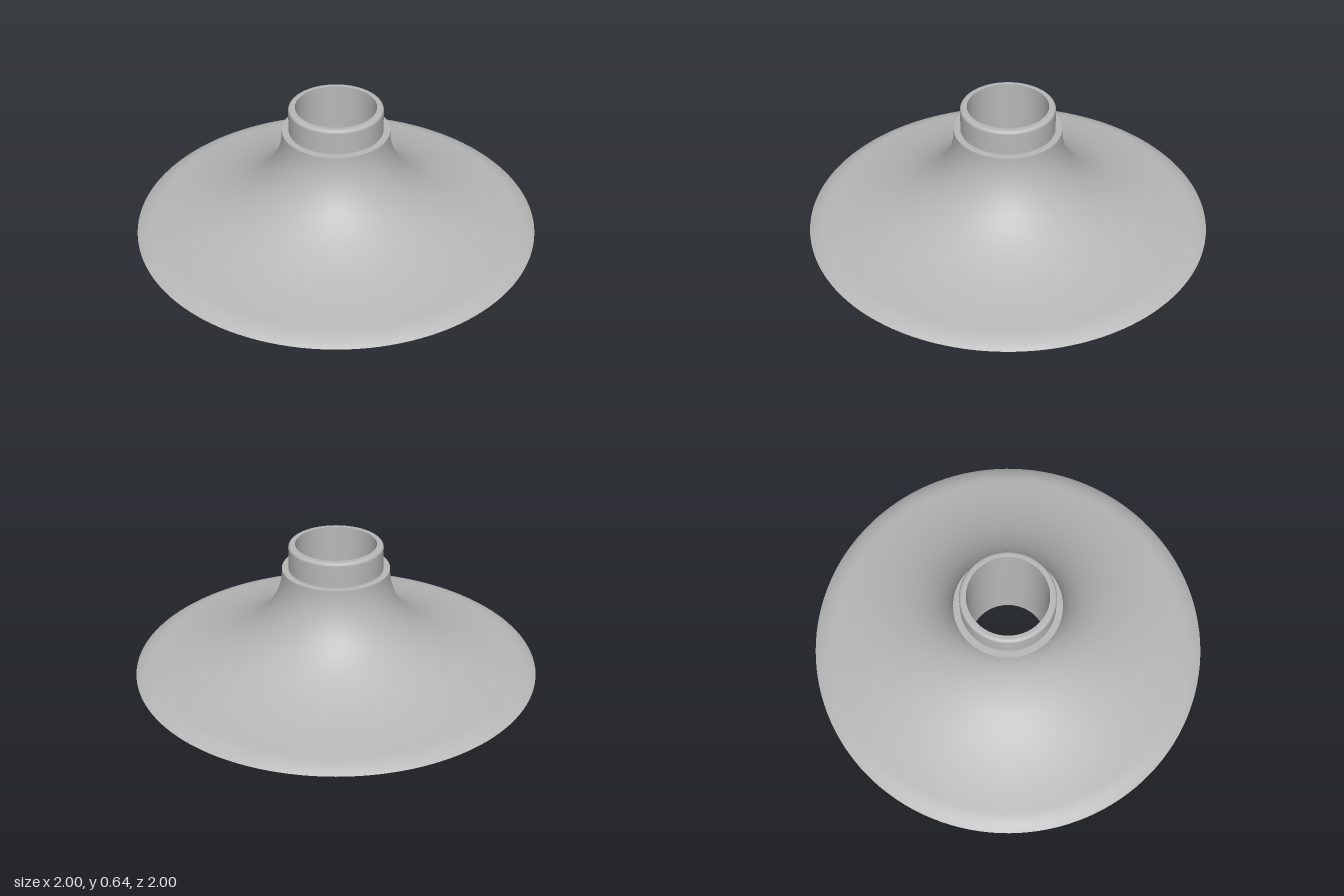
import * as THREE from 'three';

const SEGMENTS = 128;

export function createModel() {
  const model = new THREE.Group();
  model.name = 'flaredFlange';
  const grey = new THREE.MeshStandardMaterial({ color: 0xb8b8b8 });
  grey.name = 'plain grey';

  // Each surface is its own lathe, so the edges between them stay sharp.
  const v = (r, y) => new THREE.Vector2(r, y);
  const turn = (name, points) => {
    const mesh = new THREE.Mesh(new THREE.LatheGeometry(points, SEGMENTS), grey);
    mesh.name = name;
    model.add(mesh);
  };

  const boreR = 0.197, collarR = 0.23, neckR = 0.263;
  const shoulderY = 0.517, topY = 0.642, fillet = 0.016;

  // Rounded rim running into the concave trumpet flare
  const rim = new THREE.CubicBezierCurve(v(1, 0), v(0.975, 0.018), v(0.945, 0.03), v(0.91, 0.036));
  const flare = new THREE.CubicBezierCurve(v(0.91, 0.036), v(0.52, 0.086), v(neckR, 0.25), v(neckR, shoulderY));
  turn('flaredSkirt', [...rim.getPoints(8), ...flare.getPoints(40).slice(1)]);

  // Flat step between skirt and collar
  turn('shoulder', [v(neckR, shoulderY), v(collarR, shoulderY)]);

  // Collar wall with a rounded top edge
  const collar = [v(collarR, shoulderY)];
  for (let i = 0; i <= 6; i++) {
    const a = (i / 6) * Math.PI / 2;
    collar.push(v(collarR - fillet + fillet * Math.cos(a), topY - fillet + fillet * Math.sin(a)));
  }
  turn('collar', collar);
  turn('collarLip', [v(collarR - fillet, topY), v(boreR, topY)]);

  // Straight through-hole and flat underside
  turn('bore', [v(boreR, topY), v(boreR, 0)]);
  turn('underside', [v(boreR, 0), v(1, 0)]);

  return model;
}
